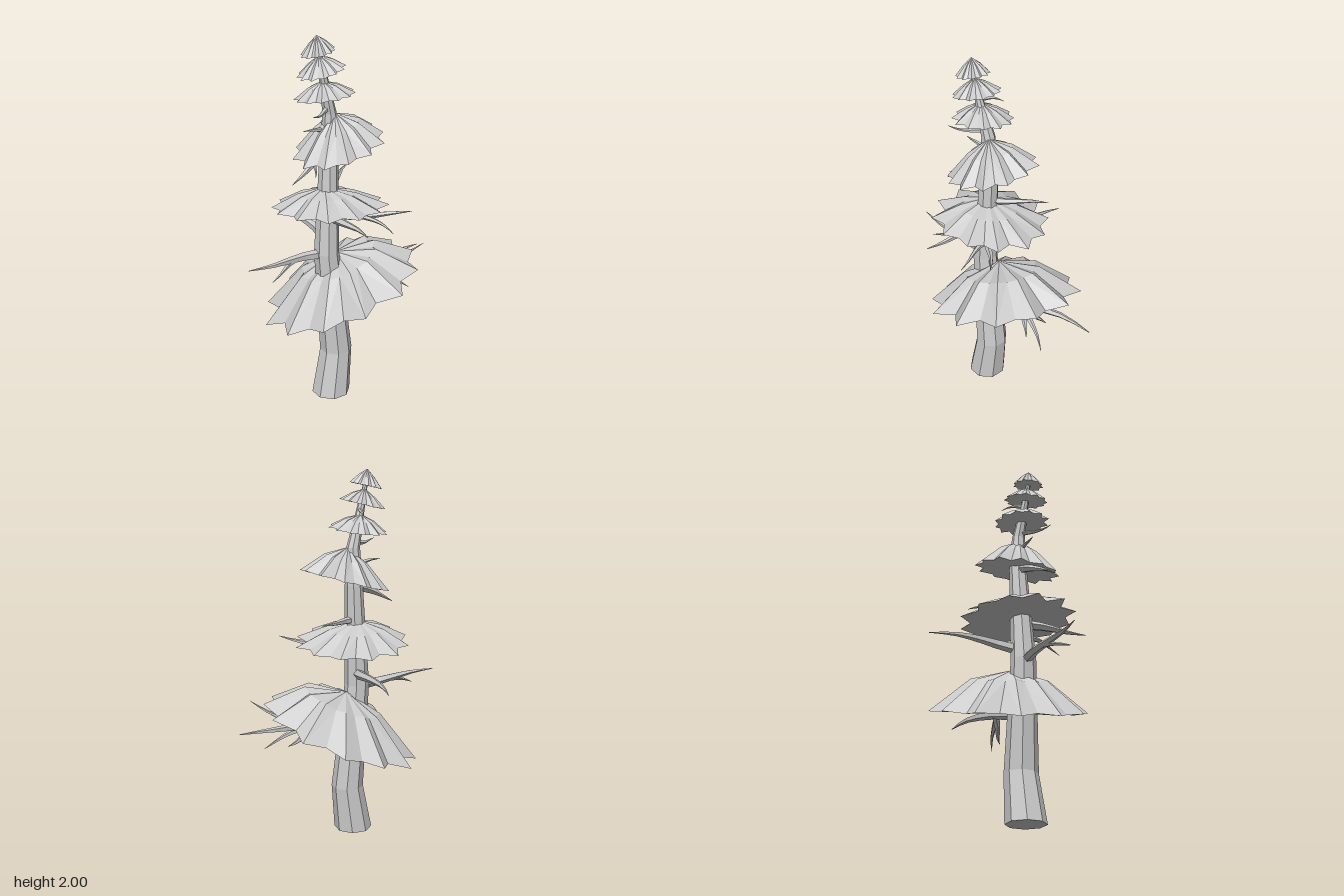
import * as THREE from 'three';

const material = new THREE.MeshStandardMaterial({ color: 0xcccccc, flatShading: true });
const UP = new THREE.Vector3(0, 1, 0);

// Bent trunk: x, y, z, radius
const trunkRings = [
  [-0.092, 0, 0.073, 0.105], [-0.055, 0.26, 0.067, 0.088], [-0.108, 0.85, 0.06, 0.067],
  [-0.082, 1.4, 0.045, 0.048], [-0.08, 1.6, 0.05, 0.036], [-0.165, 1.95, 0.08, 0.01],
];

// Centre of the trunk at a given height
function trunkCentre(y) {
  const i = trunkRings.findIndex((ring) => ring[1] > y);
  const a = new THREE.Vector3(...trunkRings[i - 1].slice(0, 3));
  const b = new THREE.Vector3(...trunkRings[i].slice(0, 3));
  return a.lerp(b, (y - a.y) / (b.y - a.y));
}

function makeMesh(name, verts, index) {
  const g = new THREE.BufferGeometry();
  g.setAttribute('position', new THREE.Float32BufferAttribute(verts, 3));
  g.setIndex(index);
  g.computeVertexNormals();
  const mesh = new THREE.Mesh(g, material);
  mesh.name = name;
  return mesh;
}

// Tapered limb with one cross-section per point, closed at both ends
function limb(name, points, radii, tangents, sides) {
  const verts = [], index = [], last = (points.length - 1) * sides;
  points.forEach((p, i) => {
    const t = tangents[i];
    const ref = Math.abs(t.y) > 0.9 ? new THREE.Vector3(0, 0, 1) : UP;
    const u = ref.clone().cross(t).normalize(), v = t.clone().cross(u);
    for (let j = 0; j < sides; j++) {
      const a = ((j + 0.5) / sides) * Math.PI * 2;
      const q = p.clone().addScaledVector(u, Math.cos(a) * radii[i]).addScaledVector(v, Math.sin(a) * radii[i]);
      verts.push(q.x, q.y, q.z);
      const k = (j + 1) % sides, b = i * sides;
      if (b < last) index.push(b + j, b + k, b + sides + j, b + k, b + sides + k, b + sides + j);
    }
  });
  for (let j = 1; j < sides - 1; j++) index.push(0, j + 1, j, last, last + j, last + j + 1);
  return makeMesh(name, verts, index);
}

// Wavy curve from start to tip; bend lifts the middle
function branchCurve(start, tip, bend) {
  const side = tip.clone().sub(start).cross(UP).multiplyScalar(0.025);
  return new THREE.CatmullRomCurve3([0, 0.25, 0.5, 0.75, 1].map((t) => {
    const p = start.clone().lerp(tip, t);
    p.y += bend * Math.sin(t * Math.PI);
    return p.addScaledVector(side, Math.sin(t * Math.PI * 2));
  }));
}

function branchMesh(name, curve, r) {
  const steps = [...Array(8).keys()].map((i) => i / 7);
  return limb(name, steps.map((t) => curve.getPoint(t)), steps.map((t) => r * (1 - 0.94 * t ** 1.4)),
    steps.map((t) => curve.getTangent(t)), 5);
}

// Star-edged foliage cap: apex, shoulder ring, rim of tips and notches, flat closed underside
function foliage([cx, cy, cz, r, h, slopeX, slopeZ, fullness], layer) {
  const n = 24, verts = [], index = [], turn = layer * 0.3 - 0.24, lean = -0.1 * r;
  const wobble = (j, s) => Math.sin(j * 2.4 + layer * 1.7 + s);
  const put = (x, y, z) => verts.push(cx + x, cy + y + x * slopeX + z * slopeZ, cz + z);
  put(lean, h - lean * slopeX, 0);
  put(0, 0, 0);
  for (let j = 0; j < n; j++) { // shoulder
    const a = turn + (j / n) * Math.PI * 2, tip = j % 2 === 0, k = r * (tip ? 0.49 : 0.44);
    put(k * Math.cos(a) + lean / 2, h * (fullness - (tip ? 0 : 0.05)), k * Math.sin(a));
  }
  for (let j = 0; j < n; j++) { // rim
    const a = turn + (j / n) * Math.PI * 2, tip = j % 2 === 0;
    const k = r * (tip ? 1 + 0.025 * wobble(j, 0) : 0.83 + 0.03 * wobble(j, 1));
    put(k * Math.cos(a), r * 0.015 * wobble(j, 2), k * Math.sin(a));
  }
  for (let j = 0; j < n; j++) {
    const a = 2 + j, b = 2 + ((j + 1) % n), d = a + n, e = b + n;
    index.push(0, b, a, 1, d, e);
    if (j % 2 === 0) index.push(a, b, d, b, e, d);
    else index.push(a, b, e, a, e, d);
  }
  return makeMesh('foliageLayer' + (layer + 1), verts, index);
}

export function createModel() {
  const tree = new THREE.Group();
  tree.name = 'tree';

  tree.add(limb('trunk', trunkRings.map(([x, y, z]) => new THREE.Vector3(x, y, z)),
    trunkRings.map((ring) => ring[3]), trunkRings.map(() => UP), 8));

  // Foliage caps from bottom to top: centre, radius, height, slope along x and z, shoulder fullness
  [
    [0.01, 0.6, 0.025, 0.42, 0.22, 0.37, 0.14, 0.83],
    [-0.075, 1.095, 0.04, 0.31, 0.115, -0.04, 0.1, 0.65],
    [-0.035, 1.425, 0.065, 0.235, 0.175, 0.28, -0.03, 0.66],
    [-0.11, 1.69, 0.055, 0.155, 0.08, 0.09, 0.1, 0.66],
    [-0.14, 1.82, 0.07, 0.122, 0.08, 0.24, 0.03, 0.62],
    [-0.16, 1.915, 0.075, 0.085, 0.085, 0.22, 0.02, 0.6],
  ].forEach((cap, i) => tree.add(foliage(cap, i)));

  // Bare branch from the trunk at height y to a tip; each twig is [tip x, y, z, bend]
  const addBranch = (name, y, tip, r, bend, twigs = []) => {
    const curve = branchCurve(trunkCentre(y), new THREE.Vector3(...tip), bend);
    tree.add(branchMesh(name + 'Branch', curve, r));
    twigs.forEach(([tx, ty, tz, twigBend]) => {
      const twig = branchCurve(curve.getPoint(0.38), new THREE.Vector3(tx, ty, tz), twigBend);
      tree.add(branchMesh(name + 'Twig', twig, r * 0.55));
    });
  };
  addBranch('lowRight', 0.57, [0.59, 0.68, -0.06], 0.036, 0.035,
    [[0.41, 0.52, 0.11, 0.02], [0.28, 0.52, 0.1, -0.02], [0.475, 0.79, 0.145, -0.02]]);
  addBranch('lowLeft', 0.84, [-0.59, 0.878, 0.1], 0.028, 0.005, [[-0.48, 0.8, 0.14, 0.01]]);
  addBranch('back', 0.91, [-0.07, 0.93, -0.45], 0.029, 0.02);
  addBranch('front', 1.06, [-0.11, 1.07, 0.44], 0.028, 0.005);
  addBranch('frontRight', 1.07, [0.25, 1.09, 0.32], 0.028, -0.02, [[0.09, 1.02, 0.38, 0.02]]);
  addBranch('midRight', 1.21, [0.165, 1.235, -0.145], 0.021, 0);
  addBranch('midLeft', 1.4, [-0.335, 1.285, 0.11], 0.026, 0.01, [[-0.25, 1.33, 0.19, 0.01]]);
  addBranch('upperLeft', 1.5, [-0.24, 1.53, 0.06], 0.015, 0.01);
  addBranch('upperFront', 1.63, [-0.25, 1.63, 0.17], 0.014, -0.015);
  addBranch('upperBack', 1.79, [-0.09, 1.75, -0.06], 0.012, 0.015);

  return tree;
}
